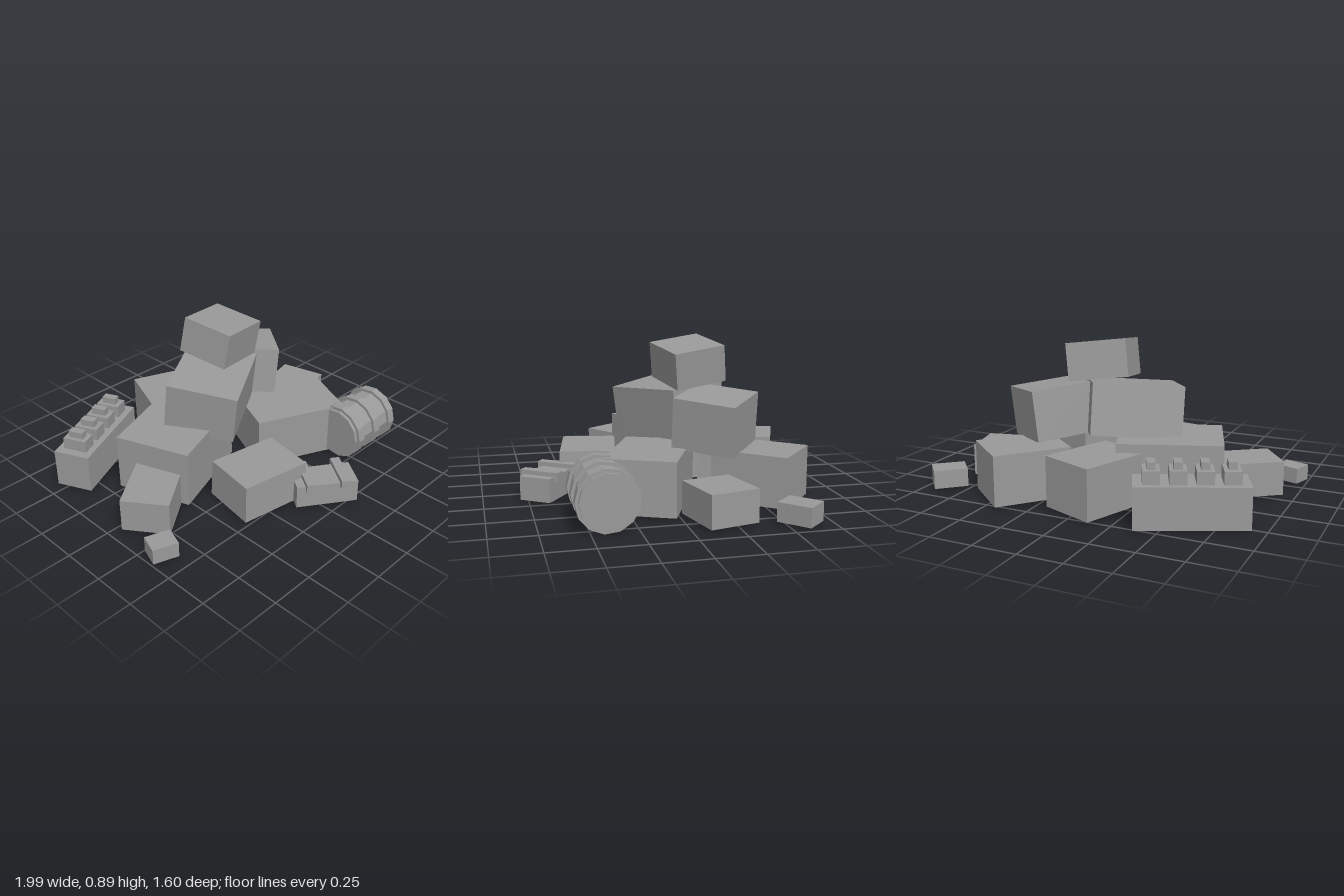
import * as THREE from 'three';

const stone = new THREE.MeshStandardMaterial({ color: 0x999999 });
stone.name = 'grey';

function box(parent, name, [w, h, d], [x, y, z], turn = 0, tiltX = 0, tiltZ = 0, taper = 1) {
  const geo = new THREE.BoxGeometry(w, h, d);
  // narrow the top face slightly where wanted
  const p = geo.attributes.position;
  for (let i = 0; i < p.count; i++) {
    if (p.getY(i) > 0) p.setXYZ(i, p.getX(i) * taper, p.getY(i), p.getZ(i) * taper);
  }
  geo.computeVertexNormals();
  const m = new THREE.Mesh(geo, stone);
  m.name = name;
  m.position.set(x, y, z);
  m.rotation.set(tiltX, turn, tiltZ, 'XZY');
  parent.add(m);
  return m;
}

// box standing on the ground line
const FLOOR = 0.02;
function grounded(parent, name, w, d, top, x, z, turn, taper = 1) {
  return box(parent, name, [w, top - FLOOR, d], [x, (top + FLOOR) / 2, z], turn, 0, 0, taper);
}

export function createModel() {
  const root = new THREE.Group();
  root.name = 'cratePile';

  // bottom layer of crates: name, width, depth, top, x, z, turn
  const layer = [
    ['leftCrate', 0.4, 0.27, 0.213, -0.694, 0.04, 0.62],
    ['largeLeftCrate', 0.58, 0.447, 0.355, -0.34, -0.16, 0.35],
    ['backCrate', 0.33, 0.43, 0.305, -0.06, -0.53, -0.37],
    ['backRightCrate', 0.353, 0.44, 0.305, 0.405, -0.52, -0.71],
    ['rightCrate', 0.31, 0.28, 0.2, 0.73, -0.187, 0.23],
    ['largeRightCrate', 0.56, 0.394, 0.32, 0.357, 0.1, -0.42],
    ['frontCrate', 0.43, 0.33, 0.243, -0.185, 0.36, -0.17, 0.97],
    ['smallLeftBox', 0.145, 0.12, 0.11, -0.91, 0.347, -0.33],
    ['smallRightBox', 0.15, 0.19, 0.125, 0.875, -0.57, -0.83],
  ];
  for (const c of layer) grounded(root, ...c);

  // stacked, tilted crates
  box(root, 'upperLeftCrate', [0.51, 0.29, 0.41], [-0.09, 0.478, -0.12], 0.55, 0.13, 0);
  box(root, 'upperRightCrate', [0.37, 0.285, 0.356], [0.345, 0.462, -0.275], -0.68, 0, -0.12);
  box(root, 'topCrate', [0.34, 0.21, 0.31], [0.06, 0.757, -0.19], 0.2, 0.1, -0.14);

  // long chest with a row of two-step knobs
  const chest = new THREE.Group();
  chest.name = 'knobbedChest';
  chest.position.set(-0.615, 0, -0.573);
  chest.rotation.y = 0.43;
  grounded(chest, 'chestBody', 0.595, 0.215, 0.246, 0, 0, 0);
  for (let i = 0; i < 4; i++) {
    const x = (i - 1.5) * 0.136;
    box(chest, 'knobBase', [0.09, 0.07, 0.14], [x, 0.281, 0]);
    box(chest, 'knobTop', [0.045, 0.04, 0.085], [x, 0.335, 0]);
  }
  root.add(chest);

  // low box with two overhanging straps
  const strapped = new THREE.Group();
  strapped.name = 'strappedBox';
  strapped.position.set(0.07, 0, 0.62);
  strapped.rotation.y = -0.6;
  grounded(strapped, 'strappedBody', 0.355, 0.185, 0.155, 0, 0, 0);
  for (const x of [-0.1, 0.1]) box(strapped, 'strap', [0.055, 0.05, 0.235], [x, 0.155, 0]);
  root.add(strapped);

  // barrel lying on its side, with three hoops
  const barrel = new THREE.Group();
  barrel.name = 'barrel';
  barrel.position.set(0.635, 0.172, 0.412);
  const cylinder = (name, r, length, x) => {
    const geo = new THREE.CylinderGeometry(r, r, length, 13).toNonIndexed();
    geo.computeVertexNormals();
    const m = new THREE.Mesh(geo, stone);
    m.name = name;
    m.rotation.z = Math.PI / 2;
    m.position.x = x;
    barrel.add(m);
  };
  cylinder('barrelBody', 0.15, 0.39, 0);
  for (const x of [-0.15, 0, 0.15]) cylinder('barrelHoop', 0.168, 0.05, x);
  root.add(barrel);

  return root;
}
